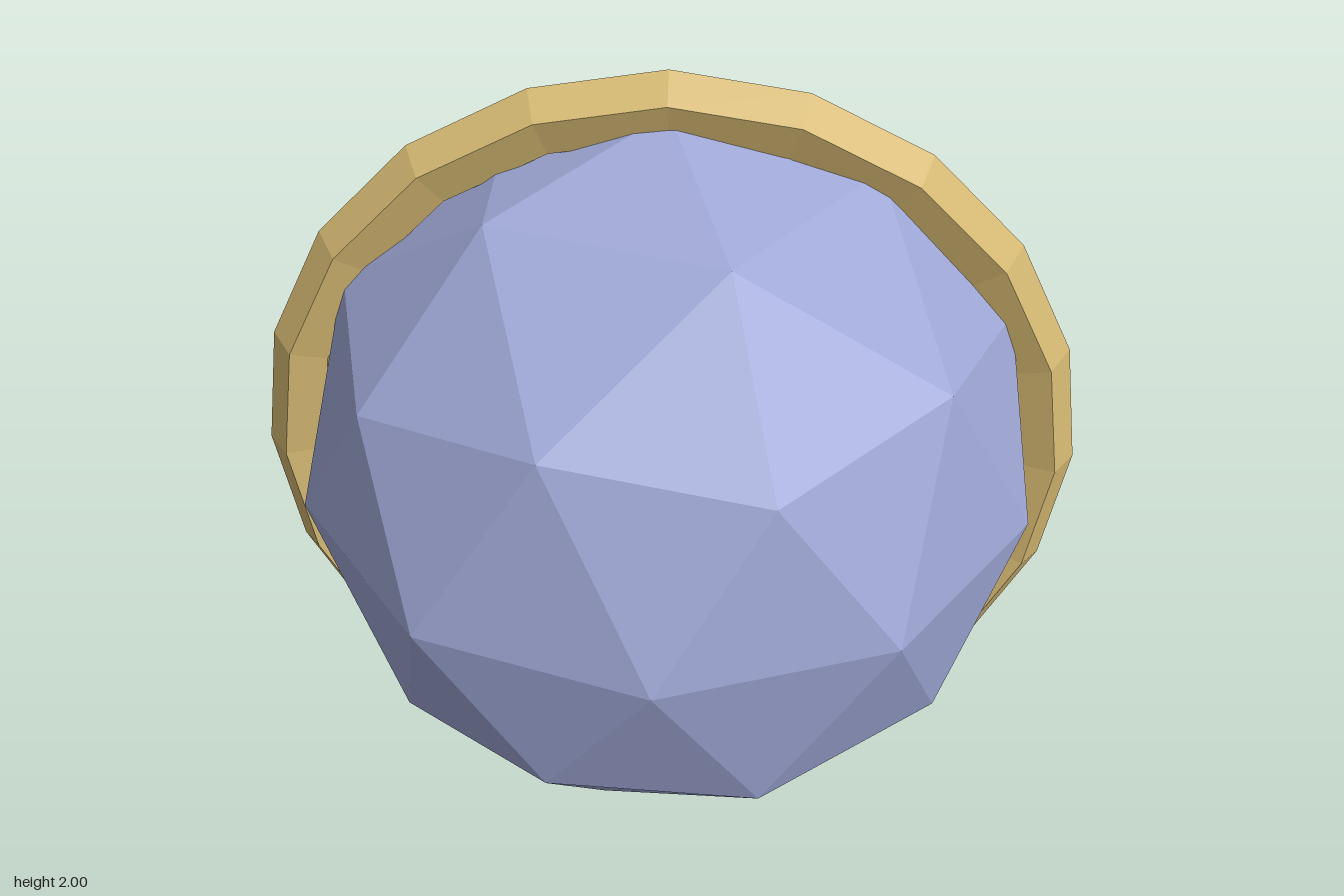
import * as THREE from 'three';

export function createModel() {
  const group = new THREE.Group();
  group.name = 'ringedOrb';

  const blue = new THREE.MeshStandardMaterial({ color: 0x9fa8d6, flatShading: true });
  blue.name = 'periwinkle blue';
  const gold = new THREE.MeshStandardMaterial({ color: 0xd4b872, flatShading: true });
  gold.name = 'pale gold';

  // Faceted orb: once-subdivided icosahedron, rolled so a side edge sits level
  const orb = new THREE.Mesh(new THREE.IcosahedronGeometry(0.9, 1), blue);
  orb.name = 'orb';
  orb.rotation.z = -Math.atan(1 / ((1 + Math.sqrt(5)) / 2));
  orb.position.y = 1;

  // Upright ring: five-sided tube with its sharp edge outward, 20 segments
  const tube = 0.078;
  const ring = new THREE.Mesh(new THREE.TorusGeometry(1 - tube, tube, 5, 20), gold);
  ring.name = 'ring';
  ring.position.y = 1;

  group.add(orb, ring);
  return group;
}
